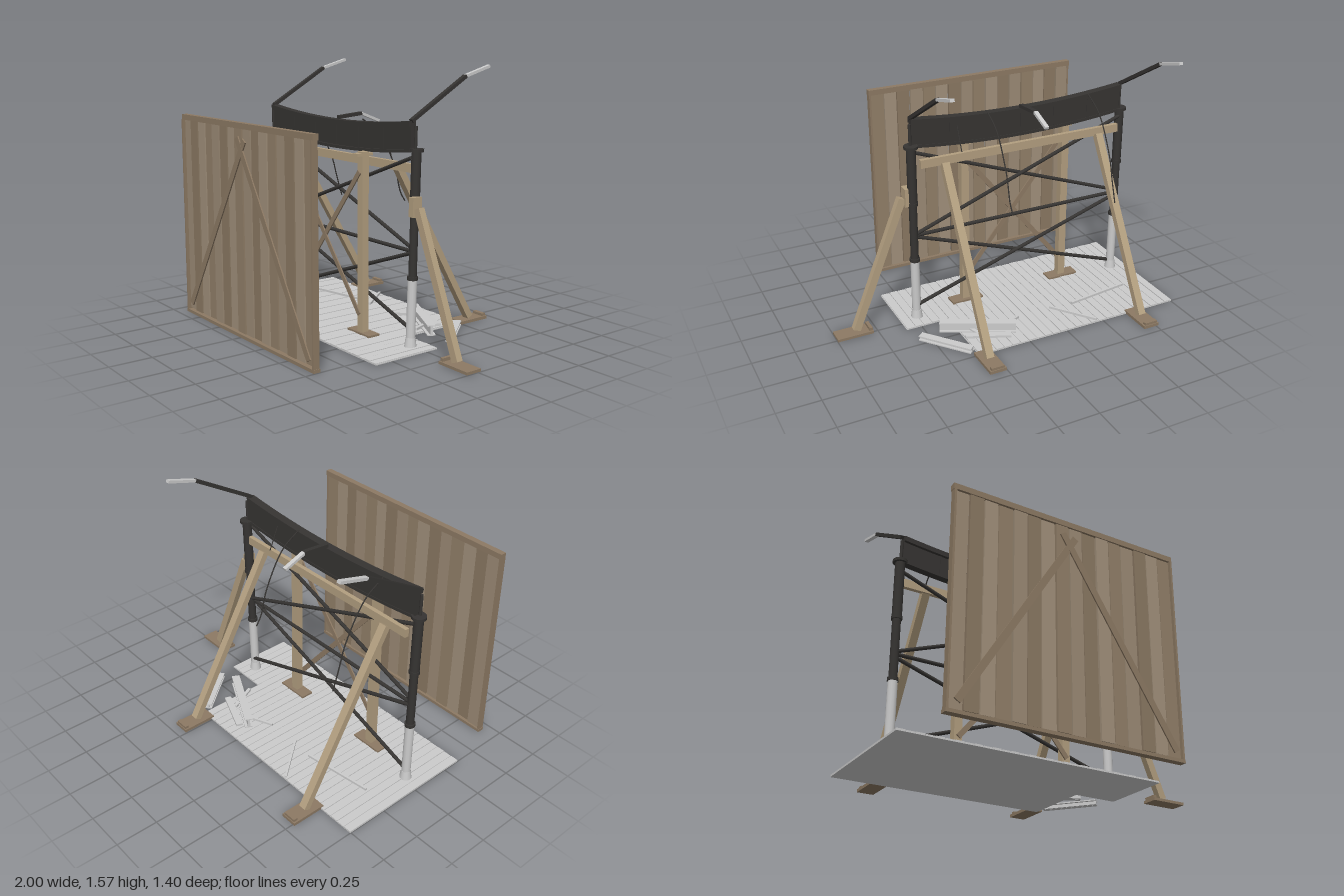
import * as THREE from 'three';

const V = (x, y, z) => new THREE.Vector3(x, y, z);
const mat = (color) => new THREE.MeshStandardMaterial({ color, side: THREE.DoubleSide });

export function createModel() {
  const root = new THREE.Group();
  const grey = mat(0xcccccc), black = mat(0x363432), wood = mat(0xb39f80), darkWood = mat(0x8d7a64);
  const fenceTones = [mat(0x9c8b76), mat(0x928069), mat(0xa2917c), mat(0x8b7963)];

  const add = (name, geo, m, parent = root) => {
    const mesh = new THREE.Mesh(geo, m);
    mesh.name = name;
    parent.add(mesh);
    return mesh;
  };
  const group = (name) => {
    const g = new THREE.Group();
    g.name = name;
    root.add(g);
    return g;
  };
  // Box given by its limits
  const box = (name, x0, x1, y0, y1, z0, z1, m, parent) => {
    const b = add(name, new THREE.BoxGeometry(x1 - x0, y1 - y0, z1 - z0), m, parent);
    b.position.set((x0 + x1) / 2, (y0 + y1) / 2, (z0 + z1) / 2);
    return b;
  };
  // Square bar between two points
  const bar = (name, a, b, w, h, m, parent) => {
    const mesh = add(name, new THREE.BoxGeometry(w, h, a.distanceTo(b)), m, parent);
    mesh.position.copy(a).add(b).multiplyScalar(0.5);
    mesh.lookAt(b);
    return mesh;
  };
  // Round rod between two points
  const rod = (name, a, b, r, m, parent, r2 = r) => {
    const mesh = add(name, new THREE.CylinderGeometry(r2, r, a.distanceTo(b), 12), m, parent);
    mesh.position.copy(a).add(b).multiplyScalar(0.5);
    mesh.quaternion.setFromUnitVectors(V(0, 1, 0), b.clone().sub(a).normalize());
    return mesh;
  };

  // Plank fence standing in front
  const fence = group('fence');
  const count = 16, pitch = 1.39 / count;
  for (let i = 0; i < count; i++) {
    const x = -0.9 + i * pitch, gap = 0.004 + 0.005 * ((i * 7) % 3) / 2, dz = 0.004 * ((i * 5) % 3 - 1);
    box('fenceBoard', x + gap / 2, x + pitch - gap / 2, 0.03, 1.225, 0.664 + dz, 0.682 + dz, fenceTones[(i * 3) % 4], fence);
  }
  box('fenceTopRail', -0.91, 0.5, 1.222, 1.255, 0.655, 0.692, darkWood, fence);
  box('fenceBottomRail', -0.91, 0.5, 0.004, 0.023, 0.655, 0.697, darkWood, fence);
  for (const x of [-0.907, 0.485]) box('fenceSideRail', x, x + 0.012, 0.023, 1.225, 0.658, 0.697, darkWood, fence);
  bar('fenceBrace', V(-0.85, 0.07, 0.692), V(-0.17, 1.16, 0.692), 0.008, 0.04, darkWood, fence);
  bar('fenceBrace', V(0.45, 0.06, 0.693), V(-0.25, 1.17, 0.693), 0.008, 0.04, darkWood, fence);

  // Ribbed deck with one notched corner
  const deck = group('deck');
  for (let x = -1, i = 0; x < 0.59; x += 0.0532, i++) {
    const back = x > 0.3 ? -0.075 : -0.505;
    box('deckPlank', x, x + 0.048, 0.004, i % 2 ? 0.012 : 0.014, back, 0.36, grey, deck);
  }
  box('deckBase', -1, 0.329, 0.002, 0.008, -0.505, 0.36, grey, deck);
  box('deckBaseSide', 0.329, 0.595, 0.002, 0.008, -0.075, 0.36, grey, deck);

  // Two slightly leaning gantry posts
  const posts = [
    [V(-0.895, 0.01, 0.03), V(-0.9, 1.13, 0.03)],
    [V(0.487, 0.01, 0.03), V(0.497, 1.13, 0.006)],
  ];
  for (const [a, b] of posts) {
    const g = group('gantryPost');
    const at = (t) => a.clone().lerp(b, t);
    rod('postBaseFoot', at(0), at(0.05), 0.036, grey, g, 0.028);
    rod('postLowerTube', at(0), at(0.35), 0.027, grey, g);
    rod('postMiddleTube', at(0.34), at(0.68), 0.024, black, g);
    rod('postUpperTube', at(0.68), at(0.985), 0.028, black, g);
    for (const t of [0.345, 0.67]) rod('postCollar', at(t), at(t + 0.018), 0.031, black, g);
    rod('postFlange', at(0.985), at(1), 0.042, black, g);
    const head = rod('postHeadStub', at(0.99), at(1.11), 0.009, black, g);
    head.position.z += 0.008;
  }

  // Two bays of crossed steel bracing
  const bracing = group('steelBracing');
  const L = -0.895, R = 0.487;
  for (const [ya, yb, z] of [[0.57, 1.08, 0.035], [1.08, 0.57, 0.015], [0.06, 0.55, 0.035], [0.55, 0.1, 0.015], [0.56, 0.56, 0.025]])
    rod('steelBrace', V(L, ya, z), V(R, yb, z), 0.011, black, bracing);

  // Sagging cross beam: box chords joined by thin sheets
  const beam = group('sagBeam');
  const sag = (x) => -0.042 * (1 - ((x + 0.2) / 0.69) ** 2);
  const strip = (name, yTop, yBottom, z0, z1) => {
    const pts = [], n = 16;
    for (let i = 0; i <= n; i++) { const x = -0.89 + i * 1.38 / n; pts.push(new THREE.Vector2(x, yTop + sag(x))); }
    for (let i = n; i >= 0; i--) { const x = -0.89 + i * 1.38 / n; pts.push(new THREE.Vector2(x, yBottom + sag(x))); }
    const geo = new THREE.ExtrudeGeometry(new THREE.Shape(pts), { depth: z1 - z0, bevelEnabled: false });
    add(name, geo.translate(0, 0, z0), black, beam);
  };
  strip('topChord', 1.282, 1.252, 0.005, 0.057);
  strip('bottomChord', 1.13, 1.112, 0.008, 0.054);
  strip('frontSheet', 1.26, 1.12, 0.034, 0.039);
  strip('backSheet', 1.26, 1.12, 0.012, 0.017);
  for (const x of [-0.885, -0.655, -0.425, -0.2, 0.02, 0.25, 0.485])
    box('beamRib', x - 0.005, x + 0.005, 1.115 + sag(x), 1.275 + sag(x), 0.009, 0.042, black, beam);

  // Lamps on arms reaching backward
  const lamp = (x, base, elbow, tip) => {
    const g = group('lamp');
    const [a, b, c] = [base, elbow, tip].map(([y, z]) => V(x, y, z));
    bar('lampArm', a, b, 0.026, 0.02, black, g);
    bar('lampHead', b, c, 0.025, 0.016, grey, g);
  };
  for (const x of [-0.897, 0.484]) lamp(x, [1.28, 0.035], [1.51, -0.36], [1.56, -0.54]);
  lamp(-0.205, [1.25, 0.02], [1.264, -0.15], [1.212, -0.285]);

  // Loose hanging cables
  for (const [x, k] of [[-0.655, 1], [0.02, 0.94]]) {
    const path = new THREE.CatmullRomCurve3([
      V(x, 1.255, 0.01), V(x, 1.17, -0.12 * k), V(x, 0.95, -0.25 * k), V(x, 0.8, -0.295 * k), V(x, 0.68 + (1 - k), -0.333 * k),
    ]);
    add('hangingCable', new THREE.TubeGeometry(path, 24, 0.004, 6), black);
  }
  rod('cableStub', V(0.21, 1.2, 0.01), V(0.21, 1.06, -0.05), 0.003, black);

  // Timber props: crosswise beam, rear struts with foot plates
  const rear = group('rearTimberProps');
  box('timberBeam', -0.86, 0.45, 0.99, 1.04, -0.02, 0.006, wood, rear);
  for (const x of [-0.715, 0.305]) {
    bar('rearStrut', V(x, 1.0, -0.022), V(x, 0.03, -0.585), 0.046, 0.04, wood, rear);
    box('rearFootPlate', x - 0.05, x + 0.05, 0.004, 0.022, -0.7, -0.488, darkWood, rear);
    box('rearFootStop', x - 0.04, x + 0.04, 0.02, 0.037, -0.695, -0.67, darkWood, rear);
  }

  // Upright timber posts with caps, feet and crossed laths
  const front = group('uprightTimberProps');
  for (const [x, mid] of [[-0.545, -0.547], [0.135, 0.133]]) {
    box('timberPost', x - 0.024, x + 0.024, 0.02, 1.085, 0.072, 0.117, wood, front);
    box('timberCap', x - 0.024, x + 0.024, 1.06, 1.077, 0.04, 0.153, wood, front);
    box('timberFoot', mid - 0.102, mid + 0.102, 0.004, 0.024, 0.05, 0.13, darkWood, front);
  }
  bar('timberLath', V(-0.545, 0.13, 0.121), V(0.135, 0.97, 0.121), 0.008, 0.03, darkWood, front);
  bar('timberLath', V(0.135, 0.13, 0.123), V(-0.545, 0.97, 0.123), 0.008, 0.03, darkWood, front);

  // Side prop against the left post
  const side = group('sideTimberProp');
  box('sideBlock', 0.505, 0.542, 0.76, 0.87, 0.003, 0.065, wood, side);
  bar('sideStrut', V(0.555, 0.81, 0.035), V(0.872, 0.03, 0.03), 0.04, 0.045, wood, side);
  box('sideFootPlate', 0.78, 1, 0.004, 0.02, -0.02, 0.08, darkWood, side);
  box('sideFootStop', 0.783, 0.803, 0.018, 0.038, -0.01, 0.07, darkWood, side);

  // Fallen metal pieces: channels with a web and two flanges, and thin strips
  const debris = group('debris');
  const channel = (x0, z0, x1, z1, y, h, w) => {
    const lift = (dy) => [V(x0, y + dy, z0), V(x1, y + dy, z1)];
    bar('channelWeb', ...lift(h / 2), w * 0.3, h, grey, debris);
    bar('channelFlange', ...lift(0.004), w, 0.007, grey, debris);
    bar('channelFlange', ...lift(h), w, 0.007, grey, debris);
  };
  channel(0.03, -0.385, 0.43, -0.18, 0.015, 0.06, 0.05);
  channel(0.35, -0.46, 0.56, -0.2, 0.006, 0.028, 0.045);
  for (const [x0, z0, x1, z1, w] of [
    [-0.83, -0.22, -0.41, -0.285, 0.014], [-0.455, -0.5, -0.265, -0.265, 0.012],
    [-0.05, -0.265, 0.08, -0.33, 0.012], [0.08, -0.42, 0.33, -0.32, 0.04], [0.24, -0.33, 0.31, -0.16, 0.02],
  ]) bar('metalStrip', V(x0, 0.022, z0), V(x1, 0.03, z1), w, 0.014, grey, debris);

  return root;
}
